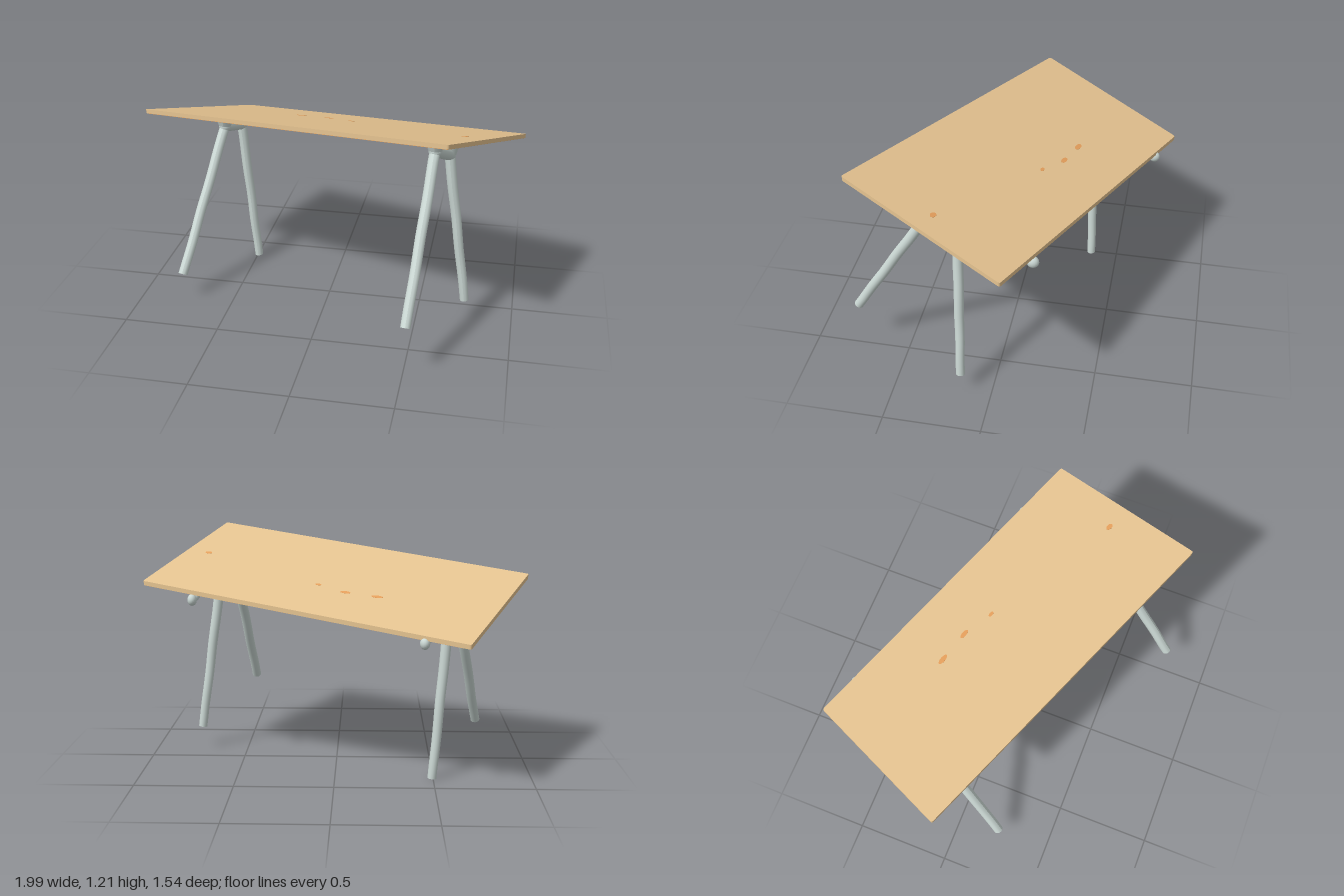
import * as THREE from 'three';

function paint(name, color) {
  const m = new THREE.MeshStandardMaterial({ color });
  m.name = name;
  return m;
}
const tan = paint('tanWood', 0xe6c491);
const orange = paint('orangeWood', 0xe6a05c);
const dusty = paint('dustyWood', 0xd2aa80);
const grey = paint('paleGreyMetal', 0xcbd8d4);
const smear = paint('blueGreyPatch', 0xc3ced8);

const SLOPE = 0.29, TOP = 1.006, THICK = 0.024;
const topY = z => TOP + SLOPE * z;
const underY = z => topY(z) - THICK;
const V = (x, y, z) => new THREE.Vector3(x, y, z);

// Flat outline in x and z, extruded down and sheared onto the tilted table plane
function plate(name, shape, offset, thick, material) {
  const geo = new THREE.ExtrudeGeometry(shape, { depth: thick, bevelEnabled: false, curveSegments: 12 });
  geo.rotateX(Math.PI / 2);
  const p = geo.attributes.position;
  for (let i = 0; i < p.count; i++) p.setY(i, p.getY(i) + topY(p.getZ(i)) + offset);
  geo.computeVertexNormals();
  const mesh = new THREE.Mesh(geo, material);
  mesh.name = name;
  return mesh;
}

function ellipse(x, z, rx, rz, angle) {
  const s = new THREE.Shape();
  s.absellipse(x, z, rx, rz, 0, Math.PI * 2, false, angle);
  return s;
}

// Slightly uneven round bar between two points
function limb(name, a, b, ra, rb, wobble = 0.0012) {
  const dir = b.clone().sub(a), len = dir.length();
  const geo = new THREE.CylinderGeometry(rb, ra, len, 14, 14);
  const p = geo.attributes.position;
  for (let i = 0; i < p.count; i++) {
    const y = p.getY(i);
    p.setX(i, p.getX(i) + wobble * Math.sin(y * 17 + a.x * 9));
    p.setZ(i, p.getZ(i) + wobble * Math.cos(y * 21 + a.z * 7));
  }
  geo.computeVertexNormals();
  const mesh = new THREE.Mesh(geo, grey);
  mesh.name = name;
  mesh.position.copy(a).add(b).multiplyScalar(0.5);
  mesh.quaternion.setFromUnitVectors(V(0, 1, 0), dir.normalize());
  return mesh;
}

function knob(name, at, sx, sy, sz) {
  const mesh = new THREE.Mesh(new THREE.SphereGeometry(1, 16, 12), grey);
  mesh.name = name;
  mesh.position.copy(at);
  mesh.scale.set(sx, sy, sz);
  return mesh;
}

// Two splayed legs, the bridge joining them and the bar stub at the back of the board
function trestle(name, foot1, head1, foot2, head2, barStart, barEnd) {
  const g = new THREE.Group();
  g.name = name;
  g.add(limb('frontLeg', foot1, head1, 0.025, 0.027));
  g.add(limb('backLeg', foot2, head2, 0.023, 0.027));
  g.add(limb('bridge', head1, head2, 0.034, 0.034, 0));
  g.add(knob('frontLegJoint', head1, 0.034, 0.038, 0.036));
  g.add(knob('backLegJoint', head2, 0.033, 0.038, 0.033));
  for (const h of [head1, head2])
    g.add(limb('boardMount', h, V(h.x, underY(h.z), h.z), 0.034, 0.055, 0));
  g.add(limb('crossBar', barStart, barEnd, 0.012, 0.022));
  g.add(knob('crossBarEnd', barEnd, 0.024, 0.03, 0.03));
  return g;
}

export function createModel() {
  const model = new THREE.Group();
  model.name = 'tiltedTable';

  // Table top, turned and tilted
  const corners = [[-1, 0], [-0.635, -0.77], [1, -0.105], [0.665, 0.7]];
  const outline = k => {
    const s = new THREE.Shape();
    corners.forEach(([x, z], i) => {
      const [px, pz] = corners[(i + 3) % 4], [nx, nz] = corners[(i + 1) % 4];
      const d1 = 0.012 / Math.hypot(px - x, pz - z), d2 = 0.012 / Math.hypot(nx - x, nz - z);
      const ax = (x + (px - x) * d1) * k, az = (z + (pz - z) * d1) * k;
      if (i) s.lineTo(ax, az); else s.moveTo(ax, az);
      s.quadraticCurveTo(x * k, z * k, (x + (nx - x) * d2) * k, (z + (nz - z) * d2) * k);
    });
    s.closePath();
    return s;
  };
  model.add(plate('tableTop', outline(1), 0, THICK - 0.002, tan));
  model.add(plate('tableUnderside', outline(0.993), -THICK + 0.003, 0.003, orange));

  // Worn spots on the top
  for (const [x, z, rx, rz] of [[-0.21, -0.28, 0.03, 0.013], [-0.05, -0.23, 0.027, 0.012], [0.09, -0.14, 0.016, 0.009], [0.71, 0.26, 0.019, 0.013]])
    model.add(plate('wornSpot', ellipse(x, z, rx, rz, 0.3), 0.001, 0.002, orange));

  // Underside patches: faded halos first, then grey beam marks and trestle mounts
  const along = Math.atan2(0.7, 1.665), across = Math.atan2(-0.77, 0.365);
  for (const [x, z, rx, rz, a] of [
    [-0.42, -0.3, 0.2, 0.1, along], [0.46, 0.08, 0.2, 0.1, along],
  ]) model.add(plate('fadedPatch', ellipse(x, z, rx, rz, a), -THICK + 0.001, 0.0025, dusty));
  for (const [x, z, rx, rz, a] of [
    [-0.14, -0.19, 0.21, 0.035, along], [0.29, -0.01, 0.13, 0.035, along], [0.08, -0.09, 0.35, 0.018, along],
    [-0.58, -0.32, 0.25, 0.08, across], [0.6, 0.17, 0.27, 0.08, across],
  ]) model.add(plate('greyPatch', ellipse(x, z, rx, rz, a), -THICK, 0.003, smear));

  // Trestles at both ends
  model.add(trestle('rightTrestle',
    V(-0.765, 0.155, 0.23), V(-0.62, 0.87, -0.19),
    V(-0.495, 0.005, -0.35), V(-0.565, 0.835, -0.325),
    V(-0.535, underY(-0.43), -0.43), V(-0.43, 0.769, -0.672)));
  model.add(trestle('leftTrestle',
    V(0.51, 0.285, 0.75), V(0.575, 1.015, 0.3),
    V(0.75, 0.125, 0.155), V(0.635, 0.95, 0.17),
    V(0.645, underY(0.02), 0.02), V(0.73, 0.893, -0.205)));

  return model;
}
